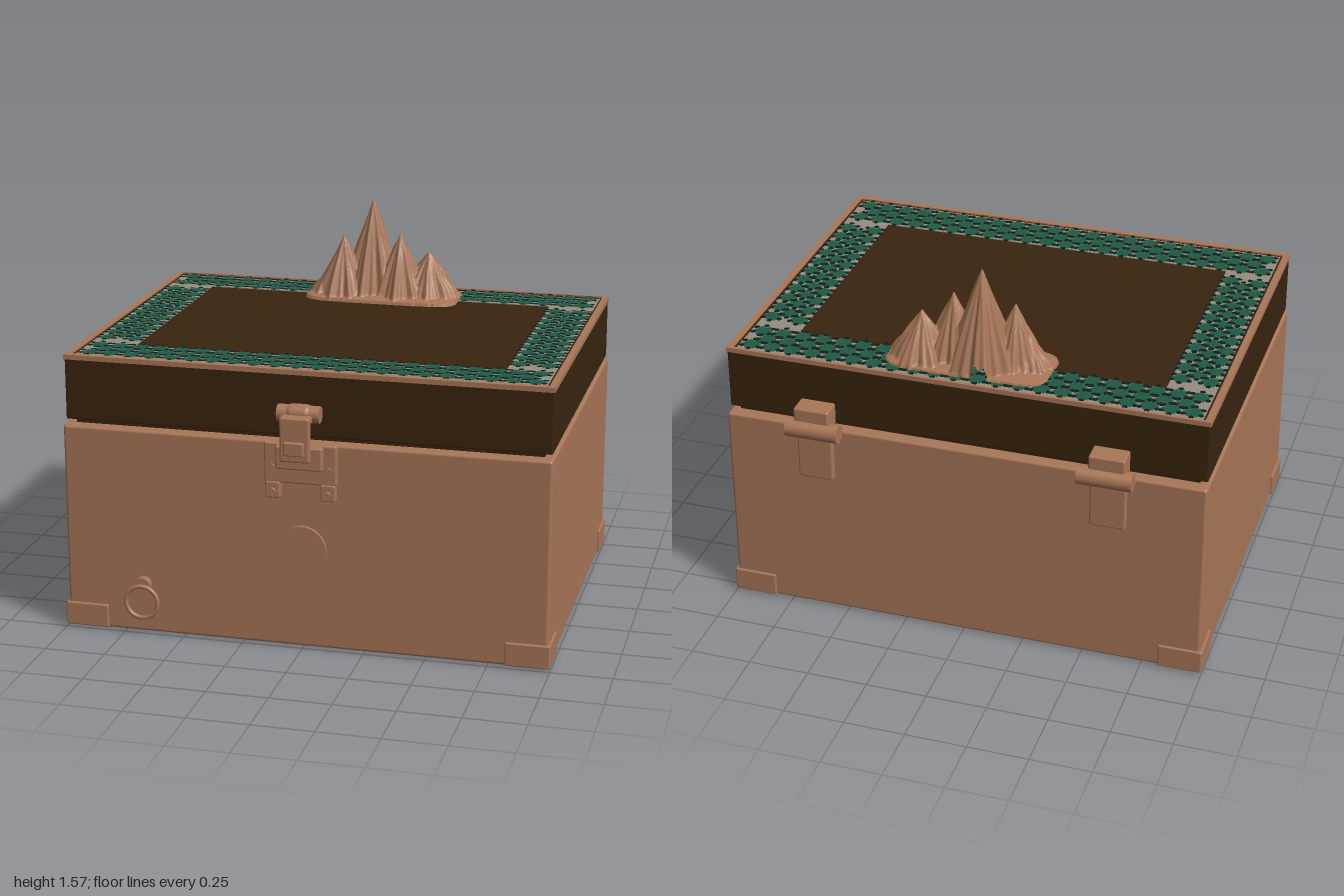
import * as THREE from 'three';
import { mergeGeometries } from 'three/addons/utils/BufferGeometryUtils.js';
import { RoundedBoxGeometry } from 'three/addons/geometries/RoundedBoxGeometry.js';

const material = (name, color) => Object.assign(new THREE.MeshStandardMaterial({ color }), { name });

export function createModel() {
  const copper = material('copper', 0xa87657);
  const darkWood = material('dark wood', 0x38240f);
  const stone = material('beige stone', 0x958e7e);
  const green = material('green tile', 0x1f5a41);
  const black = material('black tile', 0x10201f);
  const root = new THREE.Group();

  const add = (name, geometry, mat, parent = root) => {
    const mesh = new THREE.Mesh(geometry, mat);
    mesh.name = name;
    parent.add(mesh);
    return mesh;
  };
  const group = (name, parent = root) => {
    const g = new THREE.Group();
    g.name = name;
    parent.add(g);
    return g;
  };
  // Box given by its extents; r rounds the edges
  const box = (name, [x0, x1], [y0, y1], [z0, z1], mat, parent, r = 0) => {
    const size = [x1 - x0, y1 - y0, z1 - z0];
    const geo = r ? new RoundedBoxGeometry(...size, 2, r) : new THREE.BoxGeometry(...size);
    const mesh = add(name, geo, mat, parent);
    mesh.position.set((x0 + x1) / 2, (y0 + y1) / 2, (z0 + z1) / 2);
    return mesh;
  };
  // Rod along the x or z axis
  const rod = (name, axis, r, length, [x, y, z], parent) => {
    const geo = new THREE.CylinderGeometry(r, r, length, 32);
    if (axis === 'x') geo.rotateZ(Math.PI / 2);
    else geo.rotateX(Math.PI / 2);
    const mesh = add(name, geo, copper, parent);
    mesh.position.set(x, y, z);
    return mesh;
  };
  // Flat rectangular frame; extents are [x, zBack, zFront]
  const frame = (name, outer, inner, y, h, mat, parent) => {
    const points = ([x, b, f]) => [[-x, -f], [x, -f], [x, -b], [-x, -b]].map(p => new THREE.Vector2(...p));
    const shape = new THREE.Shape(points(outer));
    shape.holes.push(new THREE.Path(points(inner)));
    const geo = new THREE.ExtrudeGeometry(shape, { depth: h, bevelEnabled: false });
    const mesh = add(name, geo.rotateX(-Math.PI / 2), mat, parent);
    mesh.position.y = y;
  };

  // Chest body with base panel and corner guards
  const body = group('body');
  box('chestBody', [-0.99, 0.99], [0.008, 0.862], [-0.79, 0.742], copper, body, 0.012);
  box('basePanel', [-0.9, 0.9], [0, 0.02], [-0.7, 0.65], darkWood, body);
  box('innerLip', [-0.95, 0.95], [0.85, 0.89], [-0.74, 0.69], darkWood, body);
  for (const s of [-1, 1]) {
    const xs = s > 0 ? [0.82, 1] : [-1, -0.82];
    box('frontCornerGuard', xs, [0.01, 0.108], [0.58, 0.752], copper, body, 0.006);
    box('backCornerGuard', xs, [0.01, 0.108], [-0.8, -0.63], copper, body, 0.006);
  }

  // Lid
  const lid = group('lid');
  box('lidBlock', [-0.985, 0.985], [0.88, 1.136], [-0.76, 0.715], darkWood, lid, 0.006);
  box('lidPanel', [-0.77, 0.77], [1.13, 1.139], [-0.56, 0.5], darkWood, lid);
  frame('lidRim', [0.988, -0.763, 0.718], [0.962, -0.75, 0.692], 1.128, 0.02, copper, lid);
  frame('rimInnerStep', [0.963, -0.751, 0.693], [0.952, -0.742, 0.685], 1.128, 0.014, darkWood, lid);
  frame('mosaicBed', [0.953, -0.743, 0.686], [0.76, -0.55, 0.49], 1.132, 0.01, stone, lid);

  // Mosaic of green stars ringed with black dots
  const starShape = new THREE.Shape();
  for (let i = 0; i < 12; i++) {
    const r = i % 2 ? 0.028 : 0.041, a = i * Math.PI / 6;
    starShape[i ? 'lineTo' : 'moveTo'](r * Math.cos(a), r * Math.sin(a));
  }
  const starGeo = new THREE.ShapeGeometry(starShape).rotateX(-Math.PI / 2);
  const dotGeo = new THREE.CircleGeometry(0.0125, 6).rotateX(-Math.PI / 2);
  const stars = [], dots = [];
  const tileStrip = (cx, cz, along, length) => {
    const n = Math.floor(length / 0.086);
    for (let row = -1; row <= 1; row++) {
      const count = n - (row ? 0 : 1);
      for (let i = 0; i < count; i++) {
        const u = (i - (count - 1) / 2) * 0.086, v = row * 0.058;
        const x = cx + (along === 'x' ? u : v), z = cz + (along === 'x' ? v : u);
        stars.push(starGeo.clone().translate(x, 1.1445, z));
        for (let k = 0; k < 6; k++) {
          const a = (k + 0.5) * Math.PI / 3;
          dots.push(dotGeo.clone().translate(x + 0.04 * Math.cos(a), 1.146, z + 0.04 * Math.sin(a)));
        }
      }
    }
  };
  tileStrip(0, -0.642, 'x', 1.9);
  tileStrip(0, 0.582, 'x', 1.9);
  for (const s of [-1, 1]) tileStrip(s * 0.855, -0.028, 'z', 0.95);
  add('mosaicStars', mergeGeometries(stars), green, lid);
  add('mosaicDots', mergeGeometries(dots), black, lid);

  // Mountain: a height field of ridged peaks [x, z, height, radius, phase] on a low apron
  const peaks = [
    [-0.15, -0.54, 0.27, 0.115, 0.4], [-0.03, -0.59, 0.43, 0.135, 1.7],
    [0.1, -0.55, 0.29, 0.115, 2.9], [0.22, -0.585, 0.21, 0.125, 4.1],
    [-0.21, -0.55, 0.14, 0.09, 5.2], [0.27, -0.58, 0.14, 0.085, 0.9],
  ];
  const rock = new THREE.PlaneGeometry(0.68, 0.3, 150, 80).rotateX(-Math.PI / 2).translate(0.025, 0, -0.565);
  const pos = rock.attributes.position;
  for (let i = 0; i < pos.count; i++) {
    const x = pos.getX(i), z = pos.getZ(i);
    const edge = Math.abs((x - 0.025) / 0.335) ** 5 + Math.abs((z + 0.565) / 0.147) ** 5;
    let h = edge > 1 ? -0.012 : 0.008 + 0.012 * (1 - edge);
    for (const [px, pz, height, radius, phase] of peaks) {
      const dx = x - px, dz = z - pz, a = Math.atan2(dz, dx);
      const r = radius * (1 + 0.09 * Math.sin(7 * a + phase) + 0.05 * Math.sin(17 * a + 2 * phase));
      const t = 1 - Math.hypot(dx, dz) / r;
      if (t > 0) h = Math.max(h, height * t ** 0.92 + 0.006 * Math.sin(70 * x + 50 * z) * t * (1 - t) * 4);
    }
    pos.setY(i, 1.143 + h);
  }
  rock.computeVertexNormals();
  add('mountain', rock, copper, lid).material.side = THREE.FrontSide;

  // Front latch
  const latch = group('latch');
  box('latchPlate', [-0.147, 0.147], [0.7, 0.865], [0.735, 0.77], copper, latch, 0.008);
  box('latchCatch', [-0.095, 0.095], [0.765, 0.86], [0.76, 0.798], copper, latch, 0.008);
  for (const s of [-1, 1]) {
    box('latchFoot', [s * 0.112 - 0.03, s * 0.112 + 0.03], [0.637, 0.705], [0.735, 0.775], copper, latch, 0.006);
    rod('footRivet', 'z', 0.013, 0.02, [s * 0.112, 0.668, 0.78], latch);
    rod('plateRivet', 'z', 0.012, 0.02, [s * 0.115, 0.765, 0.767], latch);
  }
  rod('latchBarrel', 'x', 0.034, 0.17, [0, 0.992, 0.776], latch);
  box('barrelSleeve', [-0.06, 0.06], [0.955, 1.03], [0.738, 0.814], copper, latch, 0.034);
  box('haspArm', [-0.06, 0.06], [0.965, 0.995], [0.78, 0.857], copper, latch, 0.008);
  box('hasp', [-0.06, 0.06], [0.815, 0.995], [0.828, 0.857], copper, latch, 0.008);
  box('haspButton', [-0.04, 0.04], [0.845, 0.9], [0.85, 0.873], copper, latch, 0.006);

  // Round plaque and pull ring on the front
  rod('plaque', 'z', 0.1, 0.03, [0, 0.42, 0.743]);
  const pull = group('pullRing');
  rod('ringStud', 'z', 0.034, 0.04, [-0.665, 0.213, 0.753], pull);
  add('ring', new THREE.TorusGeometry(0.067, 0.009, 10, 48), copper, pull).position.set(-0.665, 0.146, 0.777);

  // Back hinges
  for (const s of [-1, 1]) {
    const hinge = group('hinge');
    const xs = [s * 0.605 - 0.073, s * 0.605 + 0.073];
    rod('hingeBarrel', 'x', 0.038, 0.22, [s * 0.6, 0.874, -0.836], hinge);
    box('hingeUpperBlock', xs, [0.875, 0.967], [-0.845, -0.755], copper, hinge, 0.008);
    box('hingeLeaf', xs, [0.638, 0.85], [-0.818, -0.785], copper, hinge, 0.008);
  }
  return root;
}
